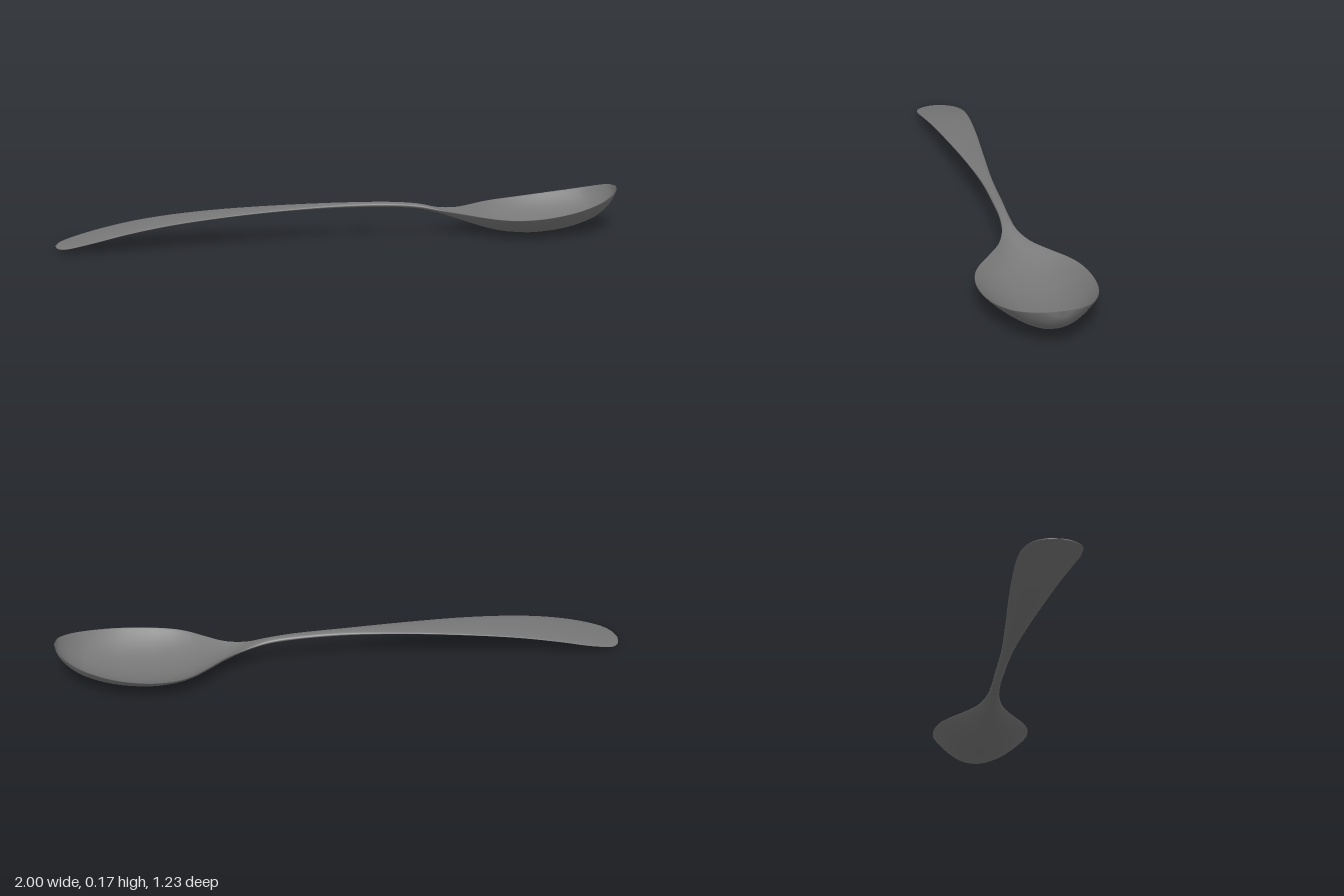
import * as THREE from 'three';

// Stations along the spoon: [distance, half width, rim height, dish depth, thickness]
const STATIONS = [
  [-1.140, 0.000, 0.012, 0.000, 0.000],
  [-1.128, 0.047, 0.013, 0.000, 0.012],
  [-1.095, 0.082, 0.019, 0.000, 0.015],
  [-1.000, 0.102, 0.042, 0.000, 0.017],
  [-0.860, 0.100, 0.073, 0.000, 0.018],
  [-0.700, 0.088, 0.098, 0.000, 0.018],
  [-0.500, 0.070, 0.117, 0.000, 0.018],
  [-0.250, 0.044, 0.130, 0.000, 0.018],
  [0.000, 0.023, 0.134, 0.000, 0.019],
  [0.200, 0.019, 0.129, 0.000, 0.019],
  [0.300, 0.019, 0.119, 0.000, 0.019],
  [0.380, 0.029, 0.104, 0.006, 0.017],
  [0.460, 0.061, 0.094, 0.026, 0.013],
  [0.540, 0.121, 0.089, 0.048, 0.012],
  [0.600, 0.166, 0.088, 0.064, 0.012],
  [0.660, 0.194, 0.089, 0.076, 0.012],
  [0.760, 0.209, 0.095, 0.089, 0.012],
  [0.900, 0.194, 0.113, 0.094, 0.012],
  [1.020, 0.145, 0.138, 0.084, 0.012],
  [1.080, 0.097, 0.157, 0.062, 0.011],
  [1.112, 0.053, 0.169, 0.032, 0.008],
  [1.125, 0.000, 0.174, 0.000, 0.000],
];

export function createModel() {
  const group = new THREE.Group();
  group.name = 'spoon';

  const outline = new THREE.CatmullRomCurve3(
    STATIONS.map(([s, w, rim]) => new THREE.Vector3(s, w, rim)));
  const section = new THREE.SplineCurve(
    STATIONS.map(([, , , depth, thick]) => new THREE.Vector2(depth, thick)));

  // Loft oval cross-sections, sagging in the middle where the bowl is dished
  const rows = (STATIONS.length - 1) * 6, sides = 48;
  const positions = [], indices = [];
  for (let i = 0; i <= rows; i++) {
    const { x: s, y: w, z: rim } = outline.getPoint(i / rows);
    const { x: depth, y: thick } = section.getPoint(i / rows);
    for (let j = 0; j < sides; j++) {
      const a = (j / sides) * Math.PI * 2;
      const q = Math.cos(a);
      const sag = Math.max(depth, 0) * (1 - Math.pow(Math.abs(q), 2.2));
      positions.push(s, rim - sag + Math.sin(a) * thick / 2, q * Math.max(w, 0));
      if (i < rows) {
        const p = i * sides + j, n = i * sides + (j + 1) % sides;
        indices.push(p, p + sides, n, n, p + sides, n + sides);
      }
    }
  }
  const geometry = new THREE.BufferGeometry();
  geometry.setAttribute('position', new THREE.Float32BufferAttribute(positions, 3));
  geometry.setIndex(indices);

  // Lay the spoon diagonally, centred and resting on the ground
  geometry.rotateY(THREE.MathUtils.degToRad(-29.2));
  geometry.computeBoundingBox();
  const box = geometry.boundingBox;
  const centre = box.getCenter(new THREE.Vector3());
  geometry.translate(-centre.x, -box.min.y, -centre.z);
  geometry.computeVertexNormals();

  // Dark steel
  const material = new THREE.MeshStandardMaterial({ color: 0x777777 });
  const spoon = new THREE.Mesh(geometry, material);
  spoon.name = 'handleAndBowl';
  group.add(spoon);
  return group;
}
